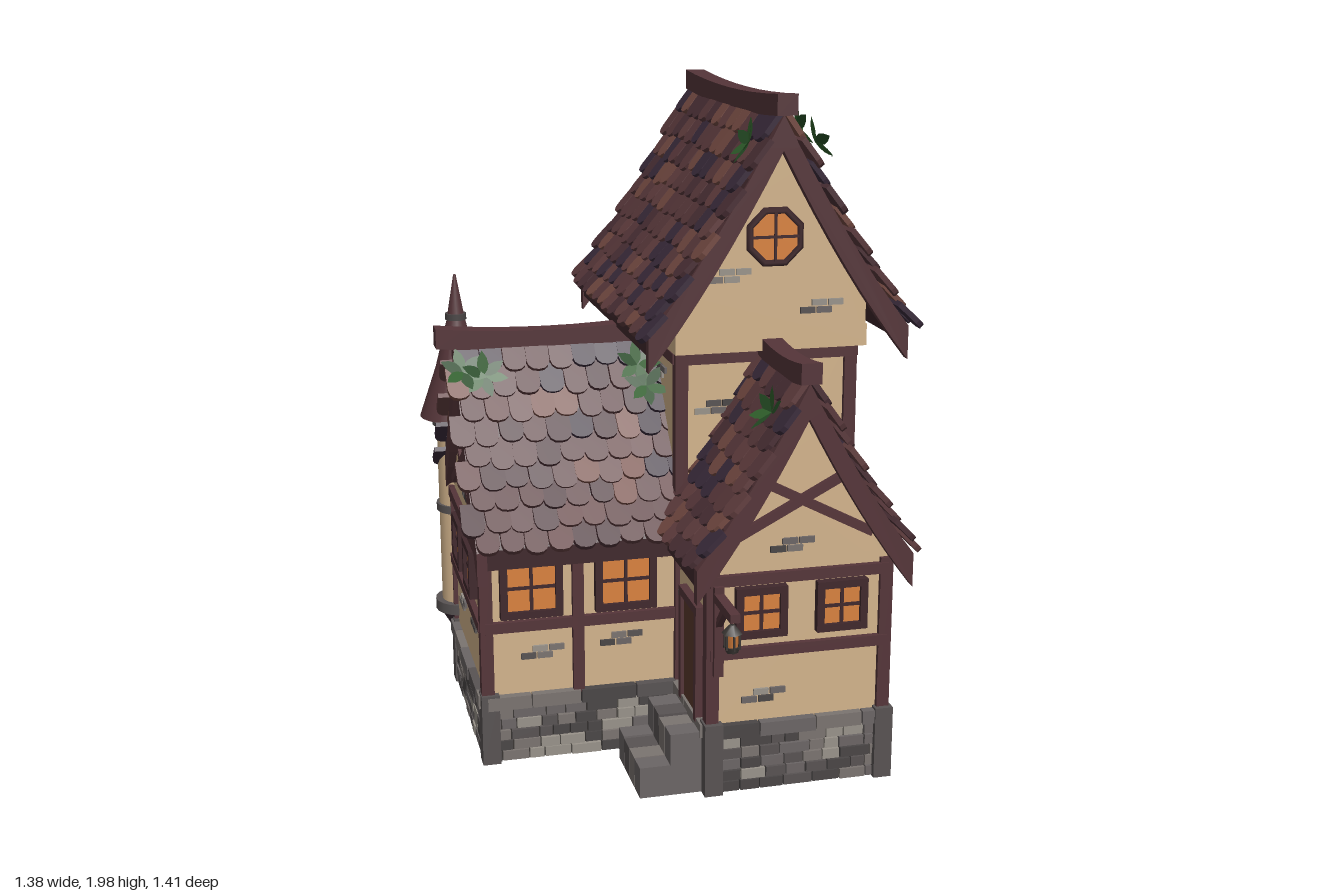
import * as THREE from 'three';
import { mergeGeometries } from 'three/addons/utils/BufferGeometryUtils.js';

const WALL = 0xd3b48c, TIMBER = 0x553539, FRAME = 0x40282c, GLOW = 0xd9823f, DARK = 0x3a3633;
const STONE = [0x6b6565, 0x585353, 0x7b7470, 0x4a4646, 0x99938a];
const TILES = [0x5a393c, 0x5a393c, 0x4b3036, 0x633f40, 0x744a42, 0x3a2b3b];
const LEAF = [0x2f5f2b, 0x254d25];
const P = Math.PI;

export function createModel() {
  let seed = 7;
  const rnd = (a = 0, b = 1) => {
    seed = (seed * 16807) % 2147483647;
    return a + (b - a) * seed / 2147483647;
  };
  const pick = (list) => list[Math.floor(rnd() * list.length)];

  // Pieces are collected by part name and colour, then merged
  const parts = new Map();
  const put = (name, color, geo, matrix) => {
    const g = geo.index ? geo.toNonIndexed() : geo;
    g.deleteAttribute('uv');
    if (matrix) g.applyMatrix4(matrix);
    const key = name + '|' + color;
    if (!parts.has(key)) parts.set(key, { name, color, list: [] });
    parts.get(key).list.push(g);
  };
  const move = (x, y, z) => new THREE.Matrix4().makeTranslation(x, y, z);
  const turn = (a) => new THREE.Matrix4().makeRotationY(a);
  // Wall frame: local x runs along the wall, local z points outwards
  const face = (angle, dist) => turn(angle).multiply(move(0, 0, dist));
  const box = (name, color, M, x, y, z, w, h, d, roll = 0) =>
    put(name, color, new THREE.BoxGeometry(w, h, d).rotateZ(roll).translate(x, y, z), M);
  const block = (name, color, x0, x1, y0, y1, z0, z1) =>
    box(name, color, null, (x0 + x1) / 2, (y0 + y1) / 2, (z0 + z1) / 2, x1 - x0, y1 - y0, z1 - z0);

  const front = face(0, 0.5), wingFront = face(0, 0.15), right = face(P / 2, 0.53);
  const back = face(P, 0.5), wingEnd = face(-P / 2, 0.59), porch = face(-P / 2, 0);
  const towerFront = wingFront, towerLeft = porch;

  // Plastered bodies
  block('towerWalls', WALL, 0, 0.53, 0.2, 1.26, -0.5, 0.15);
  block('frontWingWalls', WALL, 0, 0.53, 0.2, 0.7, 0.15, 0.5);
  block('sideWingWalls', WALL, -0.59, 0, 0.2, 0.7, -0.5, 0.15);
  block('towerJetty', WALL, -0.025, 0.555, 1.235, 1.3, -0.55, 0.21);

  // Stone foundation: core, courses of bricks, cap blocks and corner posts
  block('foundationCore', DARK, -0.59, 0.53, 0, 0.2, -0.5, 0.15);
  block('foundationCore', DARK, 0, 0.53, 0, 0.2, 0.15, 0.5);
  const course = (M, u0, u1, y0, y1, min, max, depth) => {
    for (let u = u0; u < u1 - 0.005;) {
      let w = rnd(min, max);
      if (u + w > u1 - min / 2) w = u1 - u;
      box('foundationStones', pick(STONE.slice(0, depth > 0.03 ? 4 : 5)), M, u + w / 2, (y0 + y1) / 2, 0,
        w - 0.004, y1 - y0 - 0.004, depth + rnd(0, 0.01));
      u += w;
    }
  };
  for (const [M, u0, u1] of [[front, 0, 0.53], [wingFront, -0.59, 0], [right, -0.5, 0.5],
    [back, -0.53, 0.59], [wingEnd, -0.5, 0.15], [porch, 0.15, 0.5]]) {
    for (let i = 0; i < 5; i++) course(M, u0, u1, i * 0.034, (i + 1) * 0.034, 0.04, 0.1, 0.02);
    course(M, u0, u1, 0.17, 0.215, 0.09, 0.18, 0.045);
  }
  for (const [x, z] of [[0.525, 0.5], [0.01, 0.5], [-0.58, 0.145], [-0.58, -0.495], [0.525, -0.495]])
    block('foundationCorners', STONE[1], x - 0.027, x + 0.027, 0, 0.22, z - 0.03, z + 0.03);

  // Porch steps beside the front wing
  for (const [x0, x1, y] of [[-0.11, 0, 0.19], [-0.2, -0.1, 0.1]])
    for (let i = 0; i < 4; i++)
      block('porchSteps', STONE[i % 3], x0, x1, 0, y - rnd(0, 0.008), 0.215 + i * 0.07, 0.281 + i * 0.07);

  // Timber framing
  const beam = (M, u, y, w, h, roll = 0) => box('timberFrame', TIMBER, M, u, y, 0, w, h, 0.036, roll);
  for (const [x, z, top] of [[0.525, 0.495, 0.68], [0.008, 0.495, 0.68], [-0.585, 0.145, 0.68], [-0.585, -0.495, 0.68],
    [0.525, 0.145, 1.24], [0.525, -0.495, 1.24], [0.005, -0.495, 1.24], [0.005, 0.15, 1.24]])
    block('cornerPosts', TIMBER, x - 0.019, x + 0.019, 0.21, top, z - 0.019, z + 0.019);
  for (const y of [0.43, 0.65]) { beam(front, 0.265, y, 0.53, 0.032); beam(wingFront, -0.295, y, 0.59, 0.032); }
  beam(wingFront, -0.31, 0.43, 0.034, 0.45);
  for (const M of [right, back]) beam(M, M === right ? 0.17 : -0.265, 1.21, M === right ? 0.66 : 0.53, 0.032);
  beam(right, 0, 0.68, 1, 0.034);
  beam(back, 0.03, 0.68, 1.12, 0.034);
  beam(wingEnd, -0.175, 0.66, 0.65, 0.034);
  beam(wingEnd, -0.175, 0.43, 0.65, 0.03);
  beam(towerFront, 0.265, 1.21, 0.53, 0.032);
  beam(towerLeft, -0.175, 1.21, 0.65, 0.032);
  for (const s of [-1, 1]) {
    beam(front, 0.265 - s * 0.035, 0.855, 0.4, 0.026, s * 0.48);
    beam(wingEnd, -0.175 - s * 0.035, 0.83, 0.42, 0.026, s * 0.5);
  }

  // Square windows with glowing panes and cross bars
  const window_ = (M, u, y, s) => {
    box('windowPanes', GLOW, M, u, y, 0, s - 0.02, s - 0.02, 0.026);
    for (const k of [-1, 1]) {
      box('windowFrames', FRAME, M, u + k * (s / 2 - 0.01), y, 0, 0.022, s, 0.05);
      box('windowFrames', FRAME, M, u, y + k * (s / 2 - 0.01), 0, s, 0.022, 0.05);
    }
    box('windowBars', FRAME, M, u, y, 0, 0.01, s - 0.02, 0.034);
    box('windowBars', FRAME, M, u, y, 0, s - 0.02, 0.01, 0.034);
  };
  for (const u of [-0.45, -0.165]) window_(wingFront, u, 0.55, 0.185);
  for (const u of [0.15, 0.39]) window_(front, u, 0.55, 0.15);
  for (const y of [0.51, 0.95]) {
    for (const u of [0.045, 0.285]) window_(right, u, y, 0.15);
    for (const u of [-0.39, -0.14]) window_(back, u, y, 0.15);
  }
  for (const u of [0.15, 0.4]) window_(back, u, 0.53, 0.15);
  for (const u of [-0.3, -0.05]) window_(wingEnd, u, 0.55, 0.15);

  // Door on the porch side
  box('door', 0x5b3a2c, porch, 0.35, 0.36, 0, 0.15, 0.32, 0.03);
  for (const k of [-1, 1]) box('doorFrame', TIMBER, porch, 0.35 + k * 0.085, 0.37, 0, 0.024, 0.34, 0.05);
  box('doorFrame', TIMBER, porch, 0.35, 0.54, 0, 0.2, 0.026, 0.05);

  // Exposed bricks in the plaster
  const patch = (M, u, y) => {
    for (let i = 0; i < 4; i++)
      box('exposedBricks', pick(STONE), M, u + (i % 2) * 0.05 + (i > 1 ? 0.035 : 0), y + (i > 1 ? 0.022 : 0), 0,
        0.045, 0.018, 0.016);
  };
  for (const [M, list] of [[front, [[0.12, 0.28], [0.2, 0.73]]], [wingFront, [[-0.46, 0.33], [-0.22, 0.35], [0.07, 1.05]]],
    [right, [[-0.43, 0.32], [-0.3, 0.54], [0.2, 1.07], [0.18, 0.61], [0.04, 1.13], [0.03, 0.38]]],
    [back, [[-0.3, 0.36], [-0.28, 0.8], [-0.45, 1.08], [0.24, 0.55], [0.12, 0.32]]],
    [wingEnd, [[-0.35, 0.33], [-0.08, 0.36], [-0.2, 0.74]]], [porch, [[0.2, 0.5]]], [towerLeft, [[-0.1, 1.12]]],
    [face(0, 0.21), [[0.37, 1.35], [0.09, 1.45]]], [face(P, 0.55), [[-0.4, 1.36], [-0.26, 1.62], [-0.18, 1.4]]]])
    for (const [u, y] of list) patch(M, u, y);

  // Flared gable roof: ridge on local x, slopes towards +z and -z
  const roof = (name, M, { half, top, drop, u0, u1, rows, wall, ridge }) => {
    const height = (t) => top - drop * t * (1 + 0.2 * (1 - t));
    const section = (limit, lower, base) => {
      const pts = [], n = 8;
      for (let i = -n; i <= n; i++) pts.push([i / n * limit * half, height(Math.abs(i / n) * limit)]);
      const under = base === undefined ? pts.map(([x, y]) => [x, y - lower]).reverse()
        : [[limit * half, base], [-limit * half, base]];
      if (base !== undefined) pts.forEach((p) => { p[1] -= lower; });
      return new THREE.Shape([...pts, ...under].map(([x, y]) => new THREE.Vector2(x, y)));
    };
    const run = (part, color, shape, a, b) => put(name + part, color,
      new THREE.ExtrudeGeometry(shape, { depth: b - a, bevelEnabled: false }).rotateY(P / 2).translate(a, 0, 0), M);
    run('Deck', FRAME, section(1, 0.06), u0 + 0.01, u1 - 0.01);
    run('Bargeboard', TIMBER, section(1.01, 0.1), u0, u0 + 0.03);
    run('Bargeboard', TIMBER, section(1.01, 0.1), u1 - 0.03, u1);
    run('Gable', WALL, section(wall.hw / half, 0.03, wall.base), wall.u0, wall.u1);

    // Frame lying on a slope, y up the slope and z outwards
    const at = (side, t, u, lift, tilt = 0) => {
      const a = Math.atan2(half * 0.1, height(t) - height(t + 0.1)) + tilt;
      const m = new THREE.Matrix4().makeRotationX(-a).setPosition(0, height(t), half * t);
      m.multiply(move(0, 0, lift));
      return M.clone().multiply(move(u, 0, 0)).multiply(turn(side > 0 ? 0 : P)).multiply(m);
    };
    // Overlapping round-ended shingles
    const count = Math.round((u1 - u0) / 0.074), w = (u1 - u0) / count;
    for (const side of [-1, 1]) for (let i = 0; i < rows; i++) for (let j = 0; j < count + (i % 2); j++) {
      const L = Math.hypot(half, drop) / rows * 1.4 + rnd(-0.008, 0.008), h = w * rnd(0.47, 0.52);
      const s = new THREE.Shape();
      s.moveTo(-h, 0).lineTo(-h, -L + 0.03).quadraticCurveTo(-h * 0.9, -L, 0, -L);
      s.quadraticCurveTo(h * 0.9, -L, h, -L + 0.03).lineTo(h, 0);
      const g = new THREE.ExtrudeGeometry(s, { depth: 0.016, bevelEnabled: false, curveSegments: 3 });
      put(name + 'Shingles', pick(TILES), g.rotateZ(rnd(-0.05, 0.05)),
        at(side, i / rows * 0.98, u0 + (j + (i % 2 ? 0 : 0.5)) * w, 0.002, 0.12 + rnd(0, 0.05)));
    }
    // Sagging ridge beam
    const [r0, r1] = ridge, g = new THREE.BoxGeometry(r1 - r0, 0.06, 0.06, 8, 1, 1), p = g.attributes.position;
    for (let i = 0; i < p.count; i++) p.setY(i, p.getY(i) + 0.018 * (2 * p.getX(i) / (r1 - r0)) ** 2);
    put(name + 'RidgeBeam', TIMBER, g.translate((r0 + r1) / 2, top + 0.012, 0), M);
    // Ivy sprig on the slope
    return (side, t, u, n = 6) => {
      for (let k = 0; k < n; k++) {
        const s = new THREE.Shape().moveTo(0, 0).quadraticCurveTo(0.035, 0.03, 0, 0.075);
        s.quadraticCurveTo(-0.035, 0.03, 0, 0);
        put('ivyLeaves', LEAF[k % 2], new THREE.ShapeGeometry(s, 4).rotateX(rnd(0.1, 0.5))
          .rotateZ(k / n * 2 * P + rnd(0, 0.4)), at(side, t, u, 0.045));
      }
    };
  };
  const acrossX = move(0.265, 0, 0).multiply(turn(P / 2));
  const towerIvy = roof('towerRoof', acrossX, { half: 0.385, top: 1.92, drop: 0.61, u0: -0.29, u1: 0.68, rows: 10,
    wall: { hw: 0.285, base: 1.25, u0: -0.21, u1: 0.55 }, ridge: [-0.32, 0.68] });
  const frontIvy = roof('frontRoof', acrossX, { half: 0.315, top: 1.22, drop: 0.51, u0: -0.565, u1: -0.13, rows: 9,
    wall: { hw: 0.26, base: 0.65, u0: -0.5, u1: -0.15 }, ridge: [-0.575, -0.14] });
  const sideIvy = roof('sideRoof', move(0, 0, -0.18), { half: 0.395, top: 1.21, drop: 0.52, u0: -0.615, u1: 0.02, rows: 9,
    wall: { hw: 0.325, base: 0.65, u0: -0.59, u1: 0 }, ridge: [-0.67, 0.01] });
  for (const [s, t, u] of [[1, 0.1, 0.6], [1, 0.1, 0.53], [1, 0.1, -0.16], [1, 0.14, -0.28], [-1, 0.14, -0.26]]) towerIvy(s, t, u);
  for (const [s, t, u] of [[1, 0.18, -0.25], [-1, 0.18, -0.52], [1, 0.16, -0.2]]) frontIvy(s, t, u);
  for (const [s, t, u] of [[1, 0.14, -0.6], [1, 0.16, -0.54], [1, 0.15, -0.07], [1, 0.25, -0.05], [-1, 0.14, -0.17]]) sideIvy(s, t, u);

  // Octagonal gable window
  const disc = (name, color, r, d) =>
    put(name, color, new THREE.CylinderGeometry(r, r, d, 8).rotateY(P / 8).rotateX(P / 2).translate(0.265, 1.57, 0.21));
  disc('roundWindowPane', GLOW, 0.075, 0.03);
  put('roundWindowFrame', FRAME, new THREE.TorusGeometry(0.08, 0.012, 4, 8).rotateZ(P / 8).translate(0.265, 1.57, 0.222));
  for (const k of [0, 1]) box('roundWindowBars', FRAME, null, 0.265, 1.57, 0.225, k ? 0.15 : 0.008, k ? 0.008 : 0.15, 0.01);

  // Round corner turret, stacked from bottom to top: colour, lower radius, upper radius, y0, y1
  for (const [name, color, r0, r1, y0, y1] of [['turretCorbel', 0x3a2b33, 0.01, 0.085, 0.11, 0.24],
    ['turretBand', STONE[1], 0.095, 0.095, 0.235, 0.27], ['turretWall', WALL, 0.073, 0.073, 0.26, 0.9],
    ['turretBand', STONE[1], 0.082, 0.082, 0.58, 0.605], ['turretBand', STONE[1], 0.086, 0.086, 0.87, 0.905],
    ['turretRoof', TIMBER, 0.125, 0.07, 0.9, 1.06], ['turretRoof', TIMBER, 0.07, 0.028, 1.06, 1.22],
    ['turretCollar', STONE[3], 0.034, 0.034, 1.215, 1.235], ['turretSpire', TIMBER, 0.026, 0.004, 1.235, 1.36]])
    put(name, color, new THREE.CylinderGeometry(r1, r0, y1 - y0, 20).translate(-0.56, (y0 + y1) / 2, -0.55));

  // Lantern on a bracket
  block('lanternBracket', TIMBER, 0.008, 0.036, 0.595, 0.62, 0.5, 0.69);
  block('lanternBracket', TIMBER, 0.008, 0.036, 0.37, 0.64, 0.505, 0.53);
  put('lanternBracket', TIMBER, new THREE.BoxGeometry(0.018, 0.018, 0.11).rotateX(-P / 4).translate(0.022, 0.565, 0.56));
  for (const [name, color, r0, r1, y0, y1] of [['lanternHook', DARK, 0.004, 0.004, 0.57, 0.6],
    ['lanternCap', DARK, 0.03, 0.008, 0.555, 0.58], ['lanternGlass', GLOW, 0.016, 0.022, 0.515, 0.555],
    ['lanternBase', DARK, 0.018, 0.022, 0.5, 0.516]])
    put(name, color, new THREE.CylinderGeometry(r1, r0, y1 - y0, 6).translate(0.022, (y0 + y1) / 2, 0.66));
  for (let k = 0; k < 6; k++) block('lanternBars', DARK, 0.019 + 0.021 * Math.sin(k * P / 3), 0.025 + 0.021 * Math.sin(k * P / 3),
    0.51, 0.56, 0.657 + 0.021 * Math.cos(k * P / 3), 0.663 + 0.021 * Math.cos(k * P / 3));

  const group = new THREE.Group();
  group.name = 'cottage';
  for (const { name, color, list } of parts.values()) {
    const material = new THREE.MeshStandardMaterial({ color });
    if (name === 'ivyLeaves') material.side = THREE.DoubleSide;
    const mesh = new THREE.Mesh(mergeGeometries(list), material);
    mesh.name = name;
    group.add(mesh);
  }
  return group;
}
